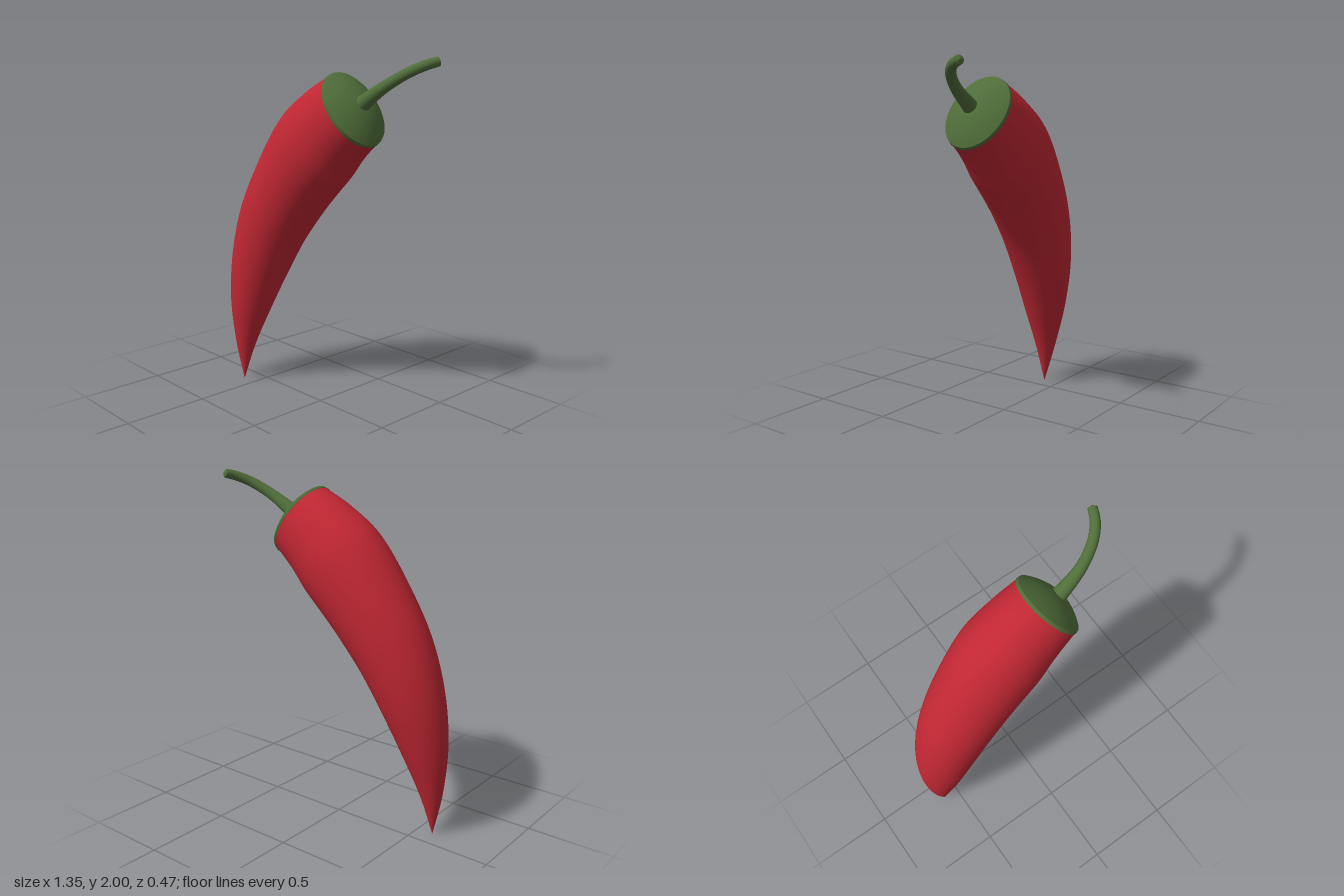
import * as THREE from 'three';

const V = (x, y, z) => new THREE.Vector3(x, y, z);
const SIDES = 48;

// Smooth skin over a list of oval rings { c: centre, u, v: half-axes }
function loft(rings) {
  const pos = [], index = [];
  for (const { c, u, v } of rings) {
    for (let i = 0; i < SIDES; i++) {
      const a = (i / SIDES) * Math.PI * 2;
      const p = c.clone().addScaledVector(u, Math.cos(a)).addScaledVector(v, Math.sin(a));
      pos.push(p.x, p.y, p.z);
    }
  }
  for (let j = 0; j < rings.length - 1; j++) {
    for (let i = 0; i < SIDES; i++) {
      const k = (i + 1) % SIDES;
      const a = j * SIDES + i, b = j * SIDES + k;
      index.push(a, b, a + SIDES, b, b + SIDES, a + SIDES);
    }
  }
  const g = new THREE.BufferGeometry();
  g.setAttribute('position', new THREE.Float32BufferAttribute(pos, 3));
  g.setIndex(index);
  g.computeVertexNormals();
  return g;
}

// Rings along a curve through stations [x, y, z, in-plane radius, depth radius]
function sweep(stations, steps) {
  const path = new THREE.CatmullRomCurve3(stations.map(s => V(s[0], s[1], s[2])));
  const size = new THREE.CatmullRomCurve3(stations.map(s => V(s[3], s[4], 0)), false, 'catmullrom');
  const rings = [];
  for (let j = 0; j <= steps; j++) {
    const n = path.getTangent(j / steps);
    const r = size.getPoint(j / steps);
    const u = V(0, 0, 1).cross(n).normalize();
    const v = n.clone().cross(u);
    rings.push({ c: path.getPoint(j / steps), n, u: u.multiplyScalar(r.x), v: v.multiplyScalar(r.y) });
  }
  return rings;
}

// Copy of a ring, scaled and moved along its axis
const offset = (ring, scale, h) => ({
  c: ring.c.clone().addScaledVector(ring.n, h),
  u: ring.u.clone().multiplyScalar(scale),
  v: ring.v.clone().multiplyScalar(scale),
});

export function createModel() {
  const red = new THREE.MeshStandardMaterial({ color: 0xc02733 });
  red.name = 'pepper red';
  const green = new THREE.MeshStandardMaterial({ color: 0x4f6d39 });
  green.name = 'stem green';
  const group = new THREE.Group();
  group.name = 'chilliPepper';
  const add = (name, rings, mat) => {
    const mesh = new THREE.Mesh(loft(rings), mat);
    mesh.name = name;
    group.add(mesh);
  };

  // Curved body, from the pointed tip up to the neck
  const body = sweep([
    [-0.595, 0.0, 0.107, 0.001, 0.001],
    [-0.586, 0.245, 0.095, 0.066, 0.062],
    [-0.547, 0.508, 0.077, 0.133, 0.126],
    [-0.476, 0.78, 0.053, 0.186, 0.175],
    [-0.37, 1.04, 0.032, 0.222, 0.206],
    [-0.23, 1.265, 0.013, 0.246, 0.223],
    [-0.04, 1.5, -0.003, 0.268, 0.232],
    [0.093, 1.62, -0.008, 0.25, 0.214],
    [0.255, 1.73, -0.01, 0.223, 0.19],
  ], 64);
  add('body', body, red);

  // Domed cap with a thin skirt; the doubled ring keeps the rim crisp
  const rim = body[body.length - 1];
  const cap = [offset(rim, 1.0, -0.015), offset(rim, 1.03, -0.015), offset(rim, 1.012, 0.002), offset(rim, 1.012, 0.002)];
  for (let j = 1; j <= 10; j++) {
    const r = Math.max(1 - j / 10, 0.001);
    cap.push(offset(rim, r * 1.012, 0.002 + 0.07 * (1 - r * r)));
  }
  add('cap', cap, green);

  // Stem, flared at the base and bending backwards
  const stem = sweep([
    [0.285, 1.735, -0.01, 0.047, 0.047],
    [0.33, 1.768, -0.011, 0.041, 0.041],
    [0.455, 1.85, -0.03, 0.031, 0.031],
    [0.563, 1.92, -0.085, 0.028, 0.028],
    [0.622, 1.957, -0.15, 0.027, 0.027],
    [0.65, 1.974, -0.21, 0.025, 0.025],
  ], 32);
  const end = stem[stem.length - 1];
  stem.push(offset(end, 1, 0), offset(end, 0.001, 0.012));
  add('stem', stem, green);

  return group;
}
